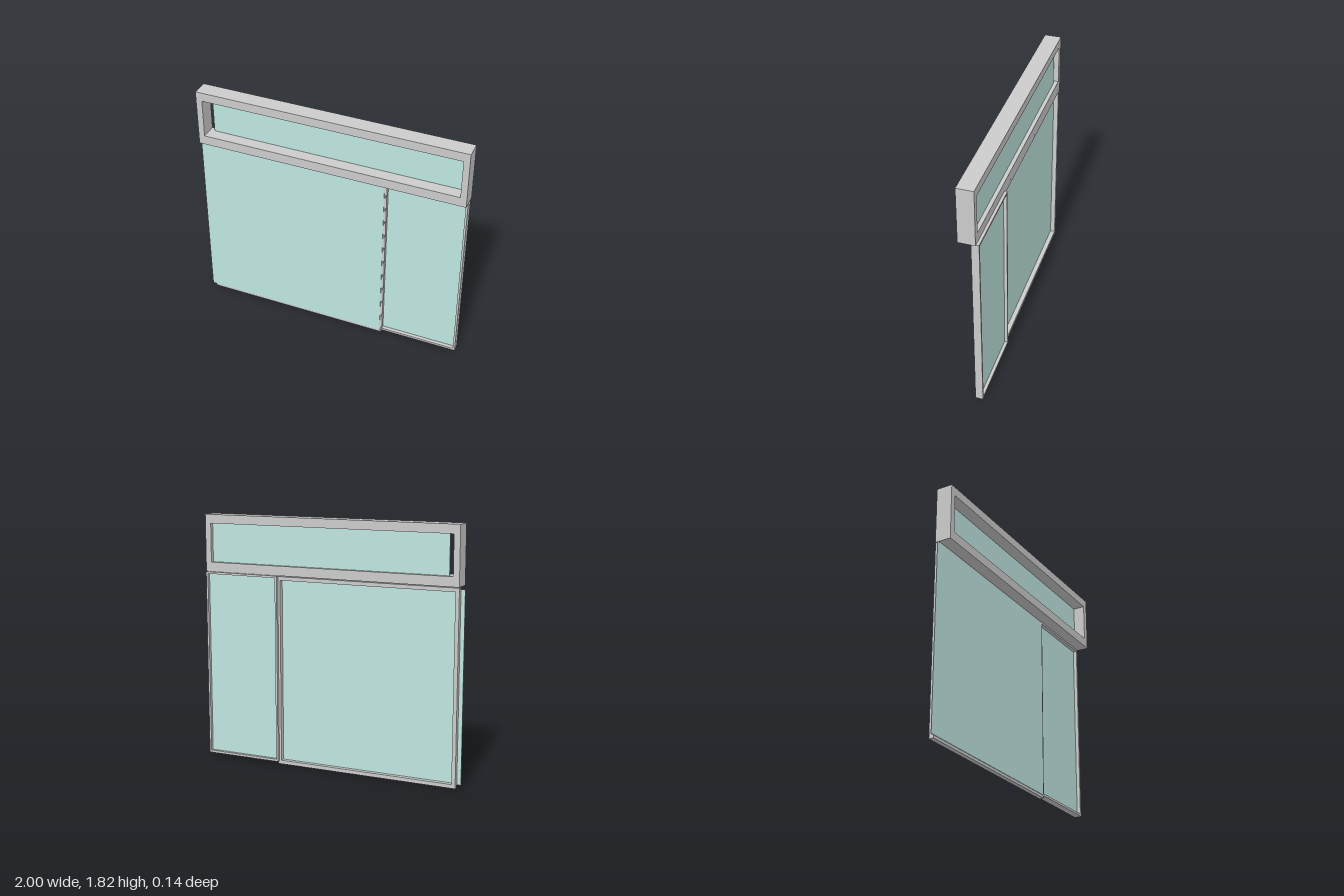
import * as THREE from 'three';

const grey = new THREE.MeshStandardMaterial({ color: 0xcccccc });
const glass = new THREE.MeshStandardMaterial({ color: 0xbfe6e0 });

// Rectangular frame between outer corners, with an inner opening, from z0 to z1
function frame(name, [x0, y0, x1, y1], [a0, b0, a1, b1], z0, z1) {
  const shape = new THREE.Shape();
  shape.moveTo(x0, y0).lineTo(x1, y0).lineTo(x1, y1).lineTo(x0, y1).closePath();
  const hole = new THREE.Path();
  hole.moveTo(a0, b0).lineTo(a0, b1).lineTo(a1, b1).lineTo(a1, b0).closePath();
  shape.holes.push(hole);
  const geo = new THREE.ExtrudeGeometry(shape, { depth: z1 - z0, bevelEnabled: false });
  geo.translate(0, 0, z0);
  const mesh = new THREE.Mesh(geo, grey);
  mesh.name = name;
  return mesh;
}

// Thin glass sheet centred on depth z
function pane(name, [x0, y0, x1, y1], z) {
  const mesh = new THREE.Mesh(new THREE.BoxGeometry(x1 - x0, y1 - y0, 0.004), glass);
  mesh.position.set((x0 + x1) / 2, (y0 + y1) / 2, z);
  mesh.name = name;
  return mesh;
}

export function createModel() {
  const group = new THREE.Group();
  group.name = 'window';
  group.add(
    // Deep transom frame on top, its pane leaving a slit at one end
    frame('transomFrame', [-0.97, 1.4, 1, 1.82], [-0.925, 1.47, 0.955, 1.755], -0.05, 0.07),
    pane('transomGlass', [-0.89, 1.465, 0.99, 1.76], -0.02),
    // Large panel with the glass laid on its front, overhanging one side
    frame('largeFrame', [-0.97, 0, 0.41, 1.395], [-0.942, 0.028, 0.385, 1.367], -0.048, -0.014),
    pane('largeGlass', [-1, 0.02, 0.4, 1.382], -0.012),
    // Narrow side panel, set slightly further back
    frame('sideFrame', [0.402, 0.02, 0.99, 1.4], [0.417, 0.037, 0.975, 1.385], -0.07, -0.016),
    pane('sideGlass', [0.41, 0.03, 0.98, 1.39], -0.045),
  );
  return group;
}
